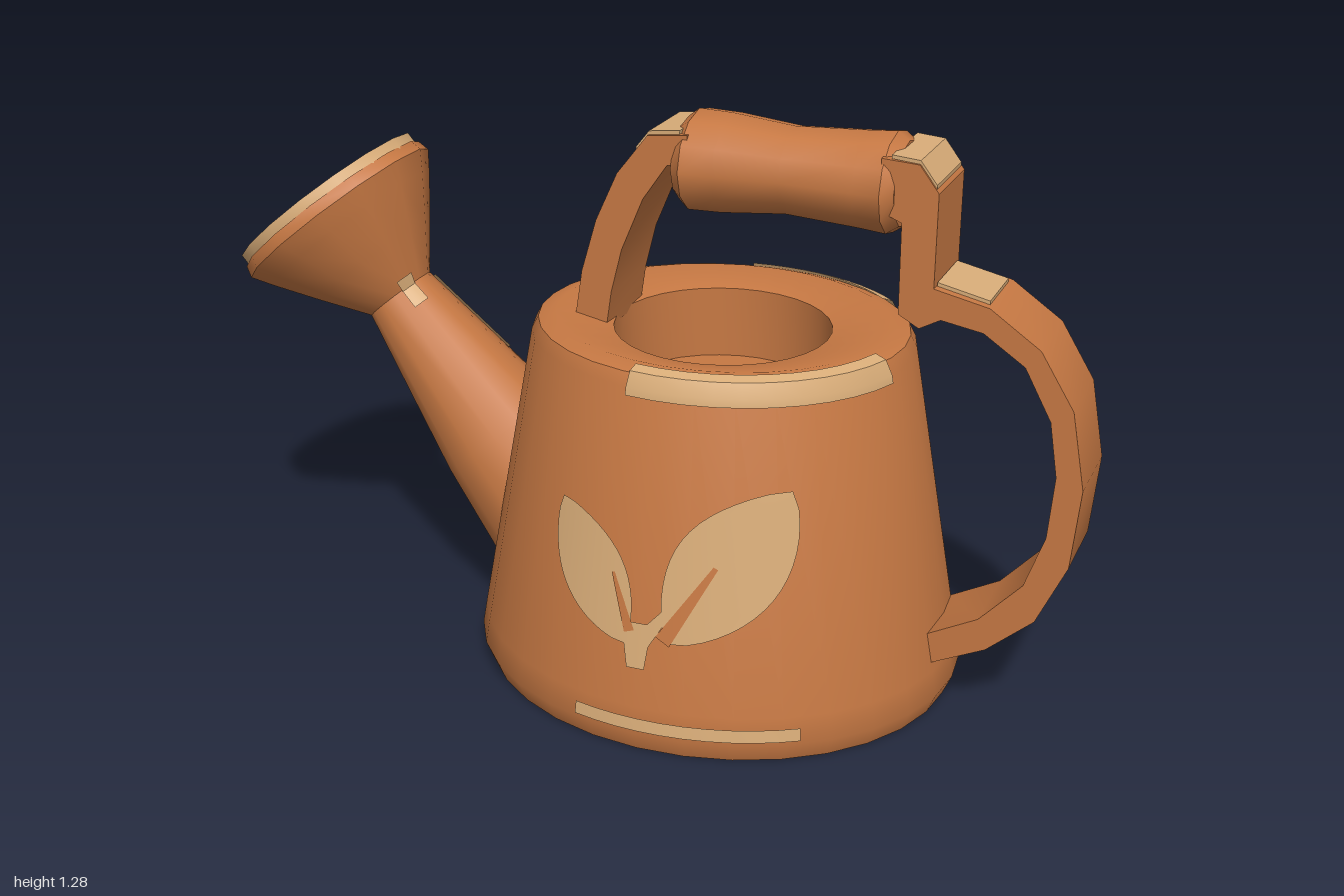
import * as THREE from 'three';
import { toCreasedNormals } from 'three/addons/utils/BufferGeometryUtils.js';

const V = (p) => p.map(([x, y]) => new THREE.Vector2(x, y));
const CX = 0.17; // body axis

export function createModel() {
  const group = new THREE.Group();
  const clay = new THREE.MeshStandardMaterial({ color: 0xc67843, side: THREE.DoubleSide });
  clay.name = 'terracotta';
  const tan = new THREE.MeshStandardMaterial({ color: 0xd8ac78, side: THREE.DoubleSide });
  tan.name = 'worn tan';

  const add = (name, geo, mat, parent = group) => {
    const mesh = new THREE.Mesh(geo, mat);
    mesh.name = name;
    parent.add(mesh);
    return mesh;
  };
  const lathe = (pts, segs, start = 0, length = Math.PI * 2) =>
    toCreasedNormals(new THREE.LatheGeometry(V(pts), segs, start, length), 0.6);

  // The body is wider in x than in z, but its filling hole stays round
  const oval = (geo) => {
    const p = geo.attributes.position;
    for (let i = 0; i < p.count; i++) {
      const r = Math.hypot(p.getX(i), p.getZ(i));
      p.setX(i, CX + p.getX(i) * (r > 0.3 ? 1.13 : 1.02));
    }
    return geo;
  };

  // Body with hollowed base and sunken filling hole
  add('body', oval(lathe([
    [0, 0.09], [0.34, 0.07], [0.455, 0.012], [0.478, 0.005], [0.495, 0.05], [0.486, 0.11],
    [0.378, 0.79], [0.365, 0.818], [0.33, 0.83], [0.235, 0.805], [0.235, 0.64], [0, 0.64],
  ], 32)), clay);

  // Worn edges around the rim and base
  for (const [start, length] of [[-0.15, 1.45], [2.3, 1.0]])
    add('rimWear', oval(lathe([[0.386, 0.775], [0.383, 0.792], [0.368, 0.823], [0.345, 0.831]], 10, start, length)), tan);
  for (const [start, length] of [[-0.25, 0.9], [2.5, 1.5]])
    add('baseWear', oval(lathe([[0.501, 0.062], [0.497, 0.09]], 10, start, length)), tan);

  // Painted leaf strips that follow the curved front of the body
  const paint = (name, a, b, width, profile, lift, mat) => {
    const geo = new THREE.PlaneGeometry(1, 1, 10, 16);
    const p = geo.attributes.position;
    const dx = b[0] - a[0], dy = b[1] - a[1], len = Math.hypot(dx, dy);
    for (let i = 0; i < p.count; i++) {
      const t = p.getY(i) + 0.5, side = p.getX(i) * 2 * width * profile(t);
      const x = a[0] + dx * t + (dy / len) * side;
      const y = a[1] + dy * t - (dx / len) * side;
      const r = 0.486 - (y - 0.11) * 0.1588;
      p.setXYZ(i, x, y, Math.sqrt(r * r - ((x - CX) / 1.13) ** 2) + lift);
    }
    geo.computeVertexNormals();
    add(name, geo, mat);
  };
  const leafWidth = (t) => Math.sin(Math.PI * t) ** 0.75;
  const taper = (t) => 1 - 0.7 * t;
  paint('leftLeaf', [0.14, 0.25], [-0.035, 0.525], 0.082, leafWidth, 0.007, tan);
  paint('rightLeaf', [0.235, 0.265], [0.455, 0.6], 0.112, leafWidth, 0.007, tan);
  paint('leafStem', [0.168, 0.2], [0.165, 0.3], 0.025, (t) => 0.8 + t * 0.6, 0.007, tan);
  paint('stemBranch', [0.17, 0.25], [0.25, 0.36], 0.02, taper, 0.007, tan);
  paint('leftLeafVein', [0.15, 0.28], [0.105, 0.4], 0.012, taper, 0.0095, clay);
  paint('rightLeafVein', [0.225, 0.27], [0.325, 0.44], 0.018, taper, 0.0095, clay);

  // Spout and sprinkler head share one tilted axis
  const spout = new THREE.Group();
  spout.name = 'spout';
  spout.position.set(-0.64, 0.76, 0);
  spout.rotation.z = 0.707;
  group.add(spout);
  add('spoutPipe', lathe([[0.185, -0.68], [0.155, -0.4], [0.085, 0]], 14), clay, spout);
  add('sprinklerHead', lathe([[0.085, 0], [0.16, 0.1], [0.225, 0.19], [0.255, 0.235], [0.248, 0.262], [0, 0.262]], 14), clay, spout);
  add('spoutWear', lathe([[0.133, -0.25], [0.092, -0.01]], 4, 2.2, 0.4), tan, spout);
  add('neckWear', lathe([[0.098, -0.05], [0.09, -0.004], [0.107, 0.02]], 3, 0.7, 0.4), tan, spout);

  // Pierced sprinkler plate
  const disc = new THREE.Shape().absarc(0, 0, 0.243, 0, Math.PI * 2);
  for (const [x, y, r] of [
    [-0.13, 0.08, 0.026], [-0.13, -0.08, 0.026], [-0.02, 0.135, 0.026], [-0.02, -0.135, 0.026],
    [0.11, 0, 0.024], [-0.055, 0, 0.016], [0.01, 0, 0.022], [0.05, 0.07, 0.017], [0.05, -0.07, 0.017],
  ]) disc.holes.push(new THREE.Path().absarc(x, y, r, 0, Math.PI * 2, true));
  const plate = new THREE.ExtrudeGeometry(disc, { depth: 0.028, bevelEnabled: false, curveSegments: 8 });
  plate.rotateX(-Math.PI / 2).translate(0, 0.258, 0);
  add('sprinklerPlate', toCreasedNormals(plate, 0.9), tan, spout);

  // Flat straps: an outline in the side plane, given width in z
  const strap = (name, outline, width, mat) => {
    const geo = new THREE.ExtrudeGeometry(new THREE.Shape(V(outline)), { depth: width, bevelEnabled: false });
    add(name, toCreasedNormals(geo.translate(0, 0, -width / 2), 0.6), mat);
  };
  strap('frontHandleStrap', [
    [-0.145, 0.79], [-0.125, 0.92], [-0.09, 1.04], [-0.04, 1.15], [0.03, 1.24], [0.12, 1.25],
    [0.12, 1.19], [0.075, 1.18], [0.02, 1.1], [-0.03, 0.98], [-0.055, 0.88], [-0.068, 0.79],
  ], 0.19, clay);
  strap('rearHandleStrap', [
    [0.54, 1.25], [0.62, 1.245], [0.662, 1.19], [0.662, 0.99], [0.78, 0.965], [0.89, 0.89], [0.965, 0.77],
    [0.997, 0.6], [0.982, 0.42], [0.92, 0.28], [0.82, 0.19], [0.69, 0.125], [0.64, 0.16], [0.69, 0.2],
    [0.8, 0.26], [0.89, 0.36], [0.93, 0.48], [0.94, 0.62], [0.92, 0.74], [0.86, 0.85], [0.77, 0.91],
    [0.68, 0.925], [0.635, 0.9], [0.59, 0.925], [0.588, 1.12], [0.54, 1.14],
  ], 0.19, clay);

  // Worn patches along the tops of the straps
  const wear = (name, pts, width) =>
    strap(name, [...pts, ...pts.map(([x, y]) => [x, y + 0.008]).reverse()], width, tan);
  wear('frontStrapWear', [[0.0, 1.202], [0.03, 1.24], [0.1, 1.248]], 0.17);
  wear('rearStrapWear', [[0.56, 1.25], [0.62, 1.245], [0.656, 1.198]], 0.18);
  wear('rearCurveWear', [[0.664, 0.99], [0.775, 0.966]], 0.15);

  // Grip, slightly waisted, lying along x
  const grip = add('grip', lathe([
    [0, 0], [0.09, 0], [0.11, 0.025], [0.108, 0.1], [0.094, 0.24], [0.103, 0.4], [0.108, 0.46], [0.09, 0.485], [0, 0.485],
  ], 12), clay);
  grip.rotation.z = -Math.PI / 2;
  grip.scale.z = 1.12;
  grip.position.set(0.085, 1.175, 0);

  return group;
}
